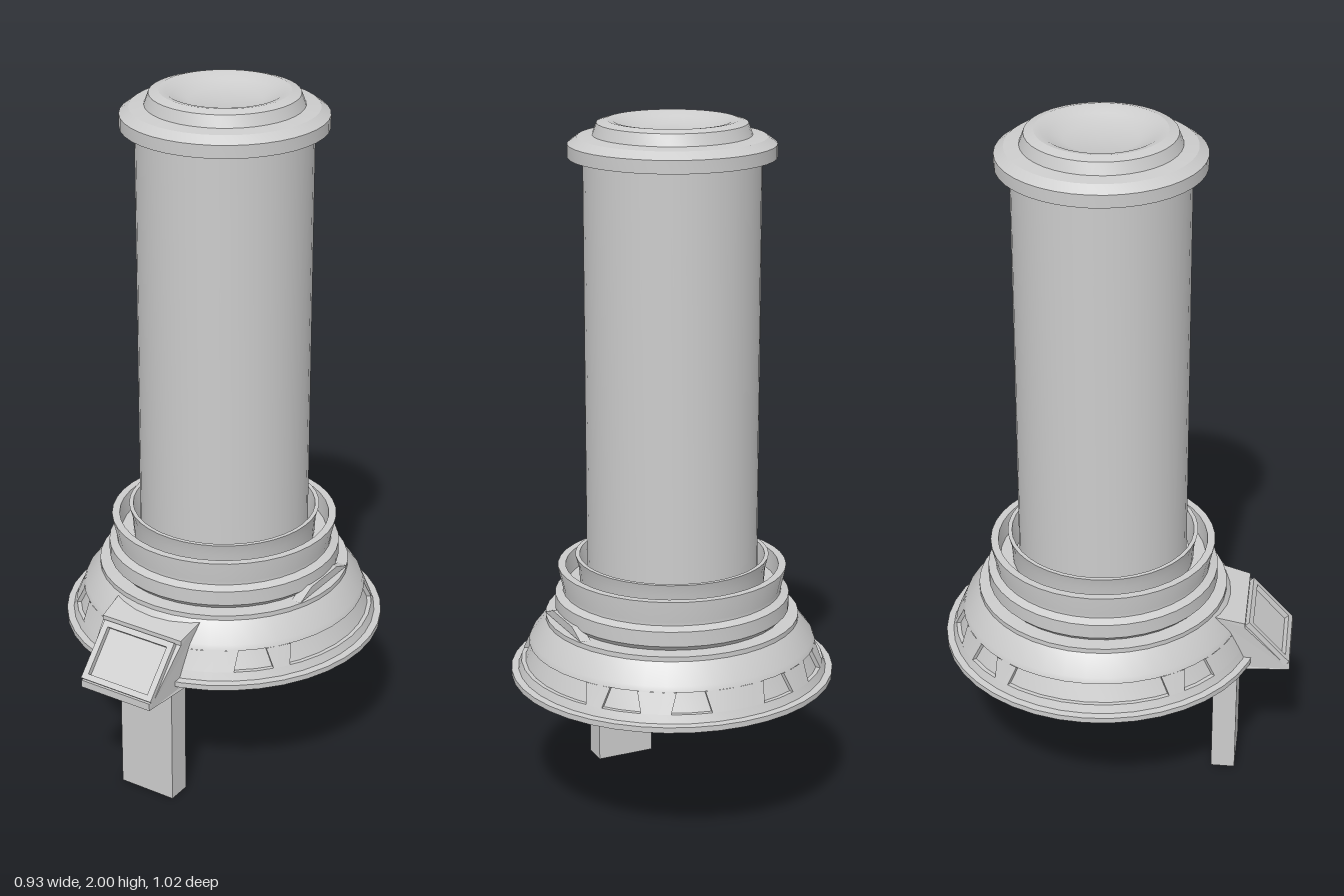
import * as THREE from 'three';
import { toCreasedNormals } from 'three/addons/utils/BufferGeometryUtils.js';

const AXIS_Z = -0.045;
const SEGMENTS = 40;
const material = new THREE.MeshStandardMaterial({ color: 0xcccccc });
const thinMaterial = new THREE.MeshStandardMaterial({ color: 0xcccccc, side: THREE.DoubleSide });

function addMesh(parent, name, geometry, mat = material) {
  const mesh = new THREE.Mesh(geometry, mat);
  mesh.name = name;
  parent.add(mesh);
  return mesh;
}

// Turned part from [radius, height] pairs, listed bottom to top
function turned(profile) {
  const points = profile.map(([r, y]) => new THREE.Vector2(r, y));
  return toCreasedNormals(new THREE.LatheGeometry(points, SEGMENTS), 0.45);
}

// Raised wall block between two windows, given its end angles at the bottom and top
function wallBlock(b0, b1, t0, t1) {
  const low = 0.455, high = 0.51, steps = Math.max(2, Math.ceil((b1 - b0) / 0.08));
  const positions = [], index = [];
  const put = (r, y, a) => positions.push(r * Math.cos(a), y, r * Math.sin(a));
  for (let i = 0; i <= steps; i++) {
    const b = THREE.MathUtils.lerp(b0, b1, i / steps);
    const t = THREE.MathUtils.lerp(t0, t1, i / steps);
    put(0.42, low, b);
    put(0.434, low, b);
    put(0.411, high, t);
    put(0.398, high, t);
    if (i < steps) {
      const k = i * 4;
      index.push(k + 1, k + 2, k + 5, k + 2, k + 6, k + 5);
    }
  }
  const e = steps * 4;
  index.push(0, 3, 1, 1, 3, 2, e, e + 1, e + 3, e + 1, e + 2, e + 3);
  const geometry = new THREE.BufferGeometry();
  geometry.setAttribute('position', new THREE.Float32BufferAttribute(positions, 3));
  geometry.setIndex(index);
  return toCreasedNormals(geometry, 0.45);
}

export function createModel() {
  const model = new THREE.Group();
  model.name = 'columnTower';
  const tower = new THREE.Group();
  tower.name = 'tower';
  tower.position.z = AXIS_Z;
  model.add(tower);

  // Flanged base with a window band sunk into its wall
  addMesh(tower, 'base', turned([
    [0, 0.414], [0.463, 0.414], [0.463, 0.43], [0.443, 0.432], [0.434, 0.455],
    [0.422, 0.455], [0.399, 0.51], [0.411, 0.51], [0.405, 0.525],
    [0.362, 0.58], [0.362, 0.594], [0.31, 0.597],
  ]));

  // Windows as [centre angle, half angle]: a wide one on each side, small ones between
  const deg = Math.PI / 180;
  const windows = [
    [0, 32], [46, 7.5], [134, 7.5], [180, 32],
    [226, 7.5], [252, 7.5], [288, 7.5], [314, 7.5],
  ];
  const taper = 2 * deg;
  const band = new THREE.Group();
  band.name = 'windowBand';
  tower.add(band);
  windows.forEach(([centre, half], i) => {
    const [nextCentre, nextHalf] = windows[(i + 1) % windows.length];
    const start = (centre + half) * deg;
    const end = (nextCentre - nextHalf + (i === windows.length - 1 ? 360 : 0)) * deg;
    addMesh(band, 'windowPillar', wallBlock(start, end, start - taper, end + taper), thinMaterial);
  });

  // Stepped collar, open at the top around the column
  addMesh(tower, 'collar', turned([
    [0.318, 0.595], [0.334, 0.612], [0.334, 0.655], [0.312, 0.665], [0.312, 0.675],
    [0.325, 0.733], [0.325, 0.738], [0.303, 0.738], [0.298, 0.68], [0.24, 0.68],
  ]), thinMaterial);
  addMesh(tower, 'innerRim', turned([
    [0.262, 0.68], [0.266, 0.735], [0.275, 0.768], [0.263, 0.768], [0.25, 0.69],
  ]), thinMaterial);

  // Small sloped plate under the collar on one side
  const plateShape = new THREE.Shape([[-0.13, 0.597], [0.13, 0.597], [0.07, 0.621], [-0.07, 0.621]]
    .map(([x, y]) => new THREE.Vector2(x, y)));
  const plate = new THREE.ExtrudeGeometry(plateShape, { depth: 0.03, bevelEnabled: false });
  plate.rotateY(Math.PI / 2);
  addMesh(tower, 'sidePlate', plate).position.x = 0.31;

  // Column and dished cap
  addMesh(tower, 'column', turned([[0.243, 0.67], [0.243, 1.91]]));
  addMesh(tower, 'cap', turned([
    [0.23, 1.9], [0.284, 1.9], [0.284, 1.936], [0.258, 1.955], [0.217, 1.96],
    [0.205, 1.992], [0.178, 2], [0.16, 1.997], [0.14, 1.986], [0.1, 1.972], [0, 1.972],
  ]));

  // Hood: side profile as [z, y], narrowing toward the front
  const hoodShape = new THREE.Shape([
    [0.2, 0.41], [0.26, 0.39], [0.512, 0.39], [0.512, 0.412],
    [0.495, 0.412], [0.38, 0.538], [0.38, 0.552], [0.285, 0.575], [0.2, 0.575],
  ].map(([z, y]) => new THREE.Vector2(z, y)));
  const hood = new THREE.ExtrudeGeometry(hoodShape, { depth: 2, bevelEnabled: false });
  hood.translate(0, 0, -1);
  hood.rotateY(-Math.PI / 2);
  const p = hood.attributes.position;
  for (let i = 0; i < p.count; i++) {
    p.setX(i, p.getX(i) * (0.14 - Math.max(0, p.getZ(i) - 0.32) * 0.13));
  }
  hood.computeVertexNormals();
  addMesh(model, 'hood', hood);

  // Raised frame on the sloping face of the hood
  const rectangle = (Type, w, h) => new Type([[-w, -h], [w, -h], [w, h], [-w, h]]
    .map(([x, y]) => new THREE.Vector2(x, y)));
  const frameShape = rectangle(THREE.Shape, 0.118, 0.088);
  frameShape.holes.push(rectangle(THREE.Path, 0.1, 0.071));
  const frame = new THREE.ExtrudeGeometry(frameShape, { depth: 0.02, bevelEnabled: false });
  frame.translate(0, 0, -0.02);
  const hoodFrame = addMesh(model, 'hoodFrame', frame);
  hoodFrame.position.set(0, 0.483, 0.451);
  hoodFrame.rotation.x = -0.745;

  // Flat support post under the hood
  const post = addMesh(model, 'post', new THREE.BoxGeometry(0.175, 0.41, 0.07));
  post.position.set(-0.002, 0.205, 0.325);

  return model;
}
